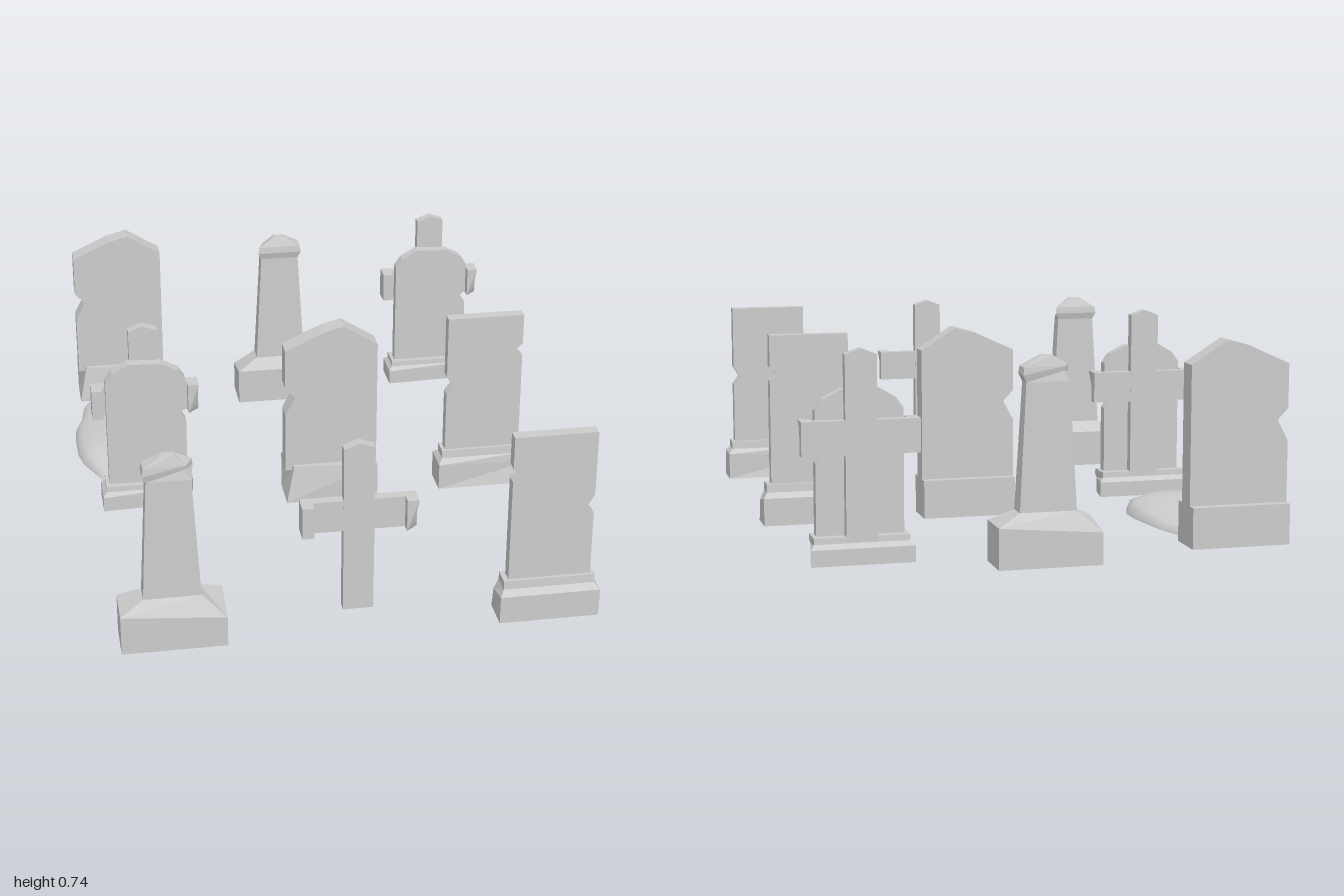
import * as THREE from 'three';

const stone = new THREE.MeshStandardMaterial({ color: 0xcccccc, flatShading: true });
const earth = new THREE.MeshStandardMaterial({ color: 0xcccccc, side: THREE.DoubleSide });

function mesh(name, geometry, x = 0, y = 0, z = 0) {
  const m = new THREE.Mesh(geometry, stone);
  m.name = name;
  m.position.set(x, y, z);
  return m;
}

function group(name, parts) {
  const g = new THREE.Group();
  g.name = name;
  g.add(...parts);
  return g;
}

// Stacked rectangular rings [y, halfWidth, halfDepth]; chips move single corners.
// Corners: 0 front left edge (-x), 1 front (+x), 2 back (+x), 3 back (-x).
function tiers(rings, chips = []) {
  const corners = [[-1, 1], [1, 1], [1, -1], [-1, -1]];
  const pos = [], index = [];
  for (const [y, w, d] of rings) for (const [sx, sz] of corners) pos.push(sx * w, y, sz * d);
  for (const [ring, corner, ...move] of chips) {
    move.forEach((v, k) => { pos[(ring * 4 + corner) * 3 + k] += v; });
  }
  for (let r = 0; r < rings.length - 1; r++) {
    for (let c = 0; c < 4; c++) {
      const a = r * 4 + c, b = r * 4 + (c + 1) % 4;
      index.push(a, b, b + 4, a, b + 4, a + 4);
    }
  }
  const t = (rings.length - 1) * 4;
  index.push(0, 2, 1, 0, 3, 2, t, t + 1, t + 2, t, t + 2, t + 3);
  const geo = new THREE.BufferGeometry();
  geo.setAttribute('position', new THREE.Float32BufferAttribute(pos, 3));
  geo.setIndex(index);
  const flat = geo.toNonIndexed();
  flat.computeVertexNormals();
  return flat;
}

// Upright slab from an outline, centred in depth
function slab(outline, depth) {
  const shape = new THREE.Shape(outline.map(([x, y]) => new THREE.Vector2(x, y)));
  const geo = new THREE.ExtrudeGeometry(shape, { depth, bevelEnabled: false });
  geo.translate(0, 0, -depth / 2);
  return geo;
}

// Broad headstone with a pitched top
function peakedStone() {
  const body = slab([
    [-0.172, 0.12], [0.172, 0.12], [0.172, 0.615], [0.045, 0.695],
    [-0.03, 0.675], [-0.172, 0.61], [-0.172, 0.46], [-0.135, 0.42], [-0.172, 0.35],
  ], 0.077);
  return group('peakedHeadstone', [
    mesh('headstoneBase', tiers([[0, 0.172, 0.073], [0.14, 0.172, 0.073]], [[1, 0, 0.03, 0, -0.02]])),
    mesh('headstoneBody', body),
  ]);
}

// Square-topped stone on a bevelled plinth
function flatStone() {
  const body = slab([
    [-0.145, 0.13], [0.14, 0.13], [0.14, 0.52], [0.115, 0.545], [0.14, 0.57],
    [0.14, 0.685], [-0.145, 0.685], [-0.145, 0.45], [-0.122, 0.41], [-0.145, 0.38],
  ], 0.043);
  return group('flatHeadstone', [
    mesh('plinth', tiers(
      [[0, 0.173, 0.06], [0.1, 0.173, 0.06], [0.118, 0.158, 0.037], [0.148, 0.158, 0.034]],
      [[1, 1, 0, -0.02, -0.02]])),
    mesh('headstoneBody', body),
  ]);
}

// Tapered pillar with a small hipped head
function obelisk() {
  return group('obelisk', [
    mesh('obeliskBase', tiers(
      [[0, 0.178, 0.077], [0.14, 0.178, 0.077], [0.18, 0.098, 0.037]], [[1, 1, 0, -0.03, 0]])),
    mesh('obeliskShaft', tiers(
      [[0.17, 0.098, 0.037], [0.61, 0.074, 0.026], [0.635, 0.086, 0.033],
        [0.66, 0.082, 0.03], [0.697, 0.02, 0.012]],
      [[2, 1, -0.03, 0.01, -0.015], [3, 1, -0.02, 0, -0.01]])),
  ]);
}

// Cross with arm ends turned forward
function cross(armY) {
  const h = 0.112;
  const parts = [
    mesh('crossUpright', slab(
      [[-0.052, 0.075], [0.052, 0.075], [0.052, 0.682], [0, 0.7], [-0.052, 0.68]], 0.037)),
    mesh('crossArms', new THREE.BoxGeometry(0.39, h, 0.036), 0, armY, 0),
  ];
  for (const s of [-1, 1]) {
    parts.push(mesh('armEnd', tiers(
      [[-h / 2, 0.02, 0.018], [h / 2, 0.02, 0.018]],
      s > 0 ? [[0, 1, -0.012, 0.03, -0.012]] : []), s * 0.175, armY, 0.034));
  }
  return group('cross', parts);
}

// Low shouldered stone with a cross standing behind it
function crossTomb() {
  const backCross = cross(0.413);
  backCross.position.z = -0.02;
  return group('crossHeadstone', [
    backCross,
    mesh('tombBase', tiers(
      [[0, 0.172, 0.066], [0.055, 0.172, 0.066], [0.07, 0.158, 0.05], [0.09, 0.158, 0.048]],
      [[1, 1, -0.02, 0, -0.015], [0, 1, -0.02, 0, -0.015]]), 0, 0, 0.011),
    mesh('tombBody', slab([
      [-0.145, 0.08], [0.145, 0.08], [0.145, 0.33], [0.125, 0.36], [0.145, 0.39],
      [0.145, 0.5], [0.12, 0.535], [0.06, 0.565], [-0.06, 0.57], [-0.12, 0.535], [-0.145, 0.5],
    ], 0.042), 0, 0, 0.016),
  ]);
}

// Rounded heap of earth: arched sections [z, left x, right x, height]
function mound() {
  const sections = [
    [-0.9, -0.75, -0.49, 0.02], [-0.84, -0.765, -0.48, 0.03], [-0.78, -0.795, -0.495, 0.033],
    [-0.68, -0.81, -0.46, 0.045], [-0.58, -0.84, -0.445, 0.056], [-0.48, -0.845, -0.43, 0.064],
    [-0.38, -0.842, -0.43, 0.07], [-0.3, -0.825, -0.455, 0.063], [-0.2, -0.78, -0.5, 0.036],
    [-0.15, -0.757, -0.515, 0.015], [-0.135, -0.7, -0.53, 0.002],
  ];
  const n = 12, pos = [], index = [];
  sections.forEach(([z, x0, x1, h], i) => {
    for (let j = 0; j <= n; j++) {
      const a = Math.PI * j / n;
      const bump = 1 + 0.06 * Math.sin(i * 1.7 + j * 1.1) * Math.sin(a);
      pos.push((x0 + x1) / 2 - Math.cos(a) * (x1 - x0) / 2,
        0.04 + h * Math.pow(Math.sin(a), 0.8) * bump, z);
      if (i && j) {
        const q = i * (n + 1) + j, p = q - n - 1;
        index.push(p - 1, q - 1, q, p - 1, q, p);
      }
    }
  });
  const geo = new THREE.BufferGeometry();
  geo.setAttribute('position', new THREE.Float32BufferAttribute(pos, 3));
  geo.setIndex(index);
  geo.computeVertexNormals();
  const m = new THREE.Mesh(geo, earth);
  m.name = 'graveMound';
  return m;
}

export function createModel() {
  const yard = new THREE.Group();
  yard.name = 'graveyard';
  const place = (g, x, y, z, turn = 0) => {
    g.position.set(x, y, z);
    g.rotation.y = turn;
    yard.add(g);
  };
  // Back row
  place(peakedStone(), -0.63, 0.04, -0.927);
  yard.add(mound());
  place(obelisk(), 0.0225, 0, -0.898, Math.PI);
  place(crossTomb(), 0.645, 0.04, -0.895);
  // Middle row
  place(crossTomb(), -0.605, 0.04, 0);
  place(peakedStone(), 0.082, 0, -0.022);
  place(flatStone(), 0.668, 0, -0.025);
  // Front row
  place(obelisk(), -0.61, 0, 0.907);
  place(cross(0.435), 0.015, 0, 0.924);
  place(flatStone(), 0.668, 0, 0.937, Math.PI);
  return yard;
}
